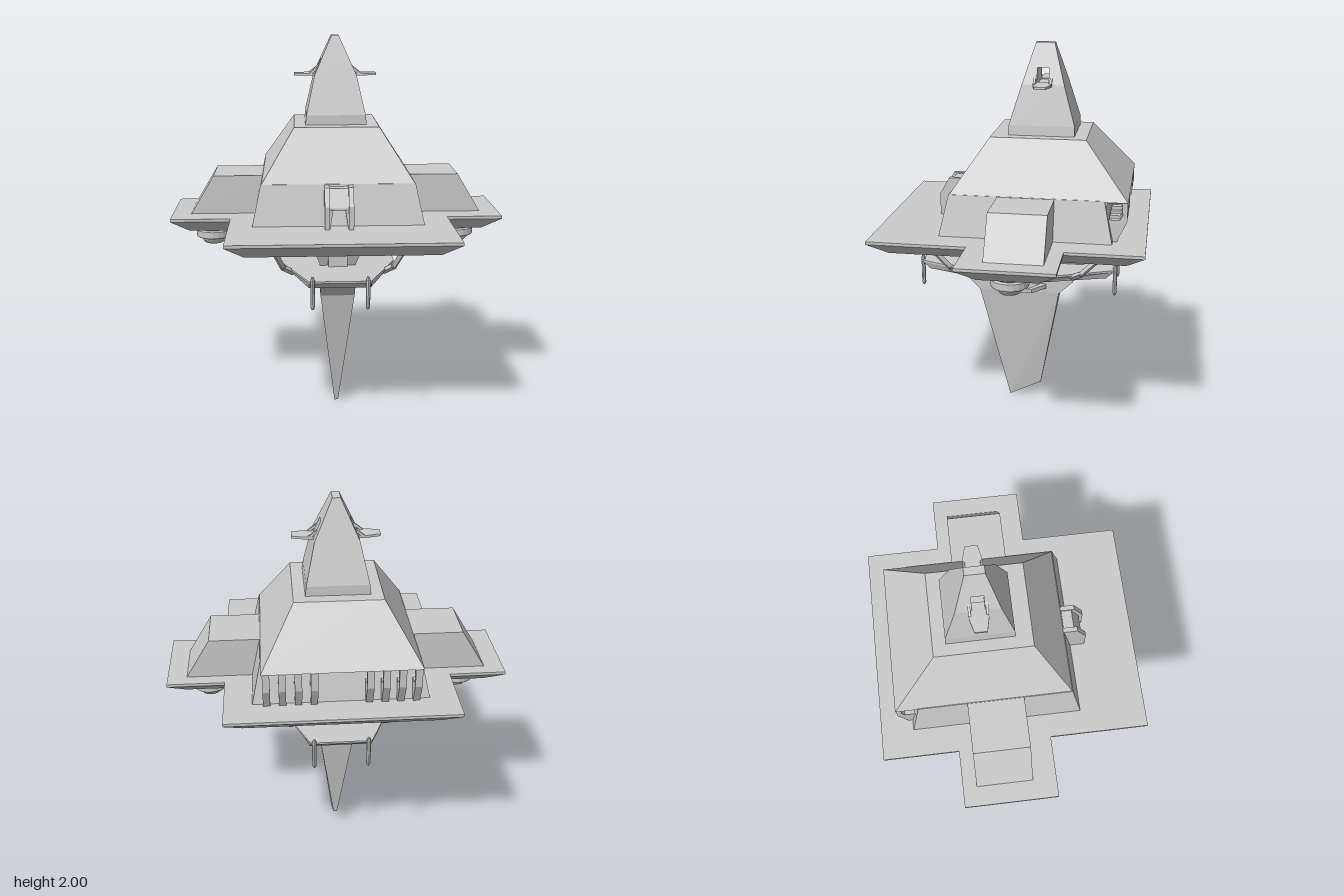
import * as THREE from 'three';

const material = new THREE.MeshStandardMaterial({ color: 0xcccccc, flatShading: true, side: THREE.DoubleSide });

// Ring of a rectangle at height y (counterclockwise from above)
const rect = (y, x, zFront, zBack) => [[x, y, zFront], [x, y, zBack], [-x, y, zBack], [-x, y, zFront]];

// Skin through rings listed bottom to top, closed by flat caps
function loft(rings) {
  const pos = [];
  const n = rings[0].length;
  for (let r = 0; r < rings.length - 1; r++) {
    for (let i = 0; i < n; i++) {
      const j = (i + 1) % n;
      const [a, b, c, d] = [rings[r][i], rings[r][j], rings[r + 1][j], rings[r + 1][i]];
      pos.push(...a, ...b, ...c, ...a, ...c, ...d);
    }
  }
  const cap = (ring, up) => {
    const flat = ring.map(p => new THREE.Vector2(p[0], -p[2]));
    for (const [a, b, c] of THREE.ShapeUtils.triangulateShape(flat, [])) {
      pos.push(...ring[a], ...ring[up ? b : c], ...ring[up ? c : b]);
    }
  };
  cap(rings[0], false);
  cap(rings[rings.length - 1], true);
  const g = new THREE.BufferGeometry();
  g.setAttribute('position', new THREE.Float32BufferAttribute(pos, 3));
  g.computeVertexNormals();
  return g;
}

const toPoints = list => list.map(([a, b]) => new THREE.Vector2(a, b));

// Side profile in (z, y), extruded across x and centred on x = 0
function sidePlate(profile, width, hole) {
  const shape = new THREE.Shape(toPoints(profile));
  if (hole) shape.holes.push(new THREE.Path(toPoints(hole)));
  return new THREE.ExtrudeGeometry(shape, { depth: width, bevelEnabled: false })
    .rotateY(-Math.PI / 2).translate(width / 2, 0, 0);
}

// Square bar between two points
function bar(a, b, thickness) {
  const from = new THREE.Vector3(...a), to = new THREE.Vector3(...b);
  const dir = to.clone().sub(from);
  const g = new THREE.BoxGeometry(thickness, dir.length() + thickness * 0.5, thickness);
  g.applyQuaternion(new THREE.Quaternion().setFromUnitVectors(new THREE.Vector3(0, 1, 0), dir.normalize()));
  return g.translate(...from.add(to).multiplyScalar(0.5).toArray());
}

export function createModel() {
  const model = new THREE.Group();
  const add = (name, geometry, x = 0, y = 0, z = 0) => {
    const mesh = new THREE.Mesh(geometry, material);
    mesh.name = name;
    mesh.position.set(x, y, z);
    model.add(mesh);
    return mesh;
  };

  // Cross-shaped platform with bevelled underside
  const cross = (y, d) => [
    [0.575 - d, y, 0.68 - d], [0.575 - d, y, 0.175 - d], [0.865 - d, y, 0.175 - d], [0.865 - d, y, -0.3 + d],
    [0.575 - d, y, -0.3 + d], [0.575 - d, y, -0.685 + d], [-0.575 + d, y, -0.685 + d], [-0.575 + d, y, -0.3 + d],
    [-0.865 + d, y, -0.3 + d], [-0.865 + d, y, 0.175 - d], [-0.555 + d, y, 0.175 - d], [-0.555 + d, y, 0.68 - d]];
  add('platform', loft([cross(1, 0.09), cross(1.07, 0), cross(1.085, 0)]));

  // Main building and overhanging roof
  add('lowerWalls', loft([rect(1.085, 0.435, 0.345, -0.52), rect(1.29, 0.39, 0.3, -0.475)]));
  add('roof', loft([rect(1.285, 0.39, 0.3, -0.59), rect(1.55, 0.22, 0.12, -0.365)]));

  // Rear brackets under the overhang
  for (const side of [-1, 1]) {
    for (let i = 0; i < 4; i++) {
      add('rearBracket', sidePlate(
        [[-0.45, 1.287], [-0.588, 1.287], [-0.588, 1.19], [-0.54, 1.085], [-0.47, 1.085]], 0.035,
        [[-0.49, 1.28], [-0.56, 1.28], [-0.565, 1.22], [-0.55, 1.195], [-0.5, 1.195], [-0.48, 1.23]]),
      side * (0.365 - i * 0.077));
    }
  }

  // Tower, split into two blocks around the through window
  const zf = y => 0.035 - (y - 1.6) * 0.3, zb = y => -0.3 + (y - 1.6) * 0.3;
  add('towerBase', loft([rect(1.55, 0.16, 0.035, -0.3), rect(1.6, 0.155, zf(1.6), zb(1.6)),
    rect(1.8, 0.11, zf(1.8), zb(1.8))]));
  add('towerFrontBlock', loft([rect(1.8, 0.11, zf(1.8), -0.1), rect(1.88, 0.074, zf(1.88), -0.1)]));
  add('towerBackBlock', loft([rect(1.8, 0.11, -0.16, zb(1.8)), rect(1.88, 0.074, -0.16, zb(1.88))]));
  add('towerTop', loft([rect(1.88, 0.074, zf(1.88), zb(1.88)), rect(2, 0.02, zf(2), zb(2))]));

  for (const s of [-1, 1]) {
    // Balcony and its cheeks
    const balcony = new THREE.Shape(toPoints([[0.07, -0.085], [0.15, -0.085], [0.217, -0.1],
      [0.217, -0.16], [0.15, -0.178], [0.07, -0.178]]));
    const floor = add('balcony', new THREE.ExtrudeGeometry(balcony, { depth: 0.012, bevelEnabled: false })
      .rotateX(Math.PI / 2), 0, 1.806, 0);
    if (s < 0) floor.geometry.scale(1, 1, -1).rotateY(Math.PI);
    floor.geometry.computeBoundingBox();
    floor.position.z = -0.1315 - (floor.geometry.boundingBox.min.z + floor.geometry.boundingBox.max.z) / 2;
    for (const z of [-0.09, -0.173]) {
      add('balconyCheek', bar([s * 0.085, 1.84, z], [s * 0.13, 1.805, z], 0.012));
    }

    // Side housing
    const house = [[0.37, 1.08], [0.77, 1.08], [0.645, 1.288], [0.37, 1.288]].map(([x, y]) => [s * x, y]);
    add('sideHousing', new THREE.ExtrudeGeometry(new THREE.Shape(toPoints(house)),
      { depth: 0.285, bevelEnabled: false }), 0, 0, -0.23);

    // Engine pod under the platform arm
    const pod = toPoints([[0, 0.893], [0.02, 0.893], [0.022, 0.9], [0.05, 0.903], [0.065, 0.922], [0.07, 0.932],
      [0.09, 0.937], [0.094, 0.945], [0.094, 0.975], [0.08, 0.98], [0.08, 0.988], [0.1, 0.99], [0.1, 1.005]]);
    add('enginePod', new THREE.LatheGeometry(pod, 20), s * 0.66, 0, -0.055);

    // Doorway cheek
    add('doorCheek', sidePlate([[0.28, 1.287], [0.37, 1.287], [0.42, 1.2], [0.42, 1.085], [0.3, 1.085]], 0.025),
      s * 0.06);

    // Side handle on the keel
    const loop = new THREE.Shape(toPoints([[0.07, 0.135], [0.1, 0.135], [0.18, 0.07], [0.18, -0.09],
      [0.1, -0.155], [0.07, -0.155]].map(([x, z]) => [s * x, -z])));
    loop.holes.push(new THREE.Path(toPoints([[0.07, 0.105], [0.1, 0.1], [0.16, 0.055], [0.16, -0.075],
      [0.1, -0.12], [0.07, -0.125]].map(([x, z]) => [s * x, -z]))));
    add('keelHandle', new THREE.ExtrudeGeometry(loop, { depth: 0.022, bevelEnabled: false })
      .rotateX(-Math.PI / 2), 0, 0.7, 0);

    // Deck struts, corner posts and small mounts
    for (const [zTop, zLow, zPost, zMount] of [[0.43, 0.28, 0.508, 0.25], [-0.48, -0.31, -0.526, -0.24]]) {
      const zMid = zLow + (zTop - zLow) * 0.3;
      add('deckStrut', bar([s * 0.335, 1, zTop], [s * 0.285, 0.865, zMid], 0.022));
      add('deckStrut', bar([s * 0.285, 0.865, zMid], [s * 0.235, 0.825, zLow], 0.022));
      add('deckPost', new THREE.CylinderGeometry(0.011, 0.011, 0.14, 8), s * 0.137, 0.785, zPost);
      for (const y of [0.708, 0.862]) {
        add('postCap', new THREE.CylinderGeometry(y > 0.8 ? 0.006 : 0.011, y > 0.8 ? 0.011 : 0.006, 0.014, 8),
          s * 0.137, y, zPost);
      }
      add('mount', new THREE.BoxGeometry(0.02, 0.03, 0.035), s * 0.165, 0.988, zMount);
    }
  }

  // Doorway hood and recessed back
  add('doorHood', sidePlate([[0.28, 1.28], [0.355, 1.28], [0.4, 1.19], [0.28, 1.19]], 0.1));
  add('doorArch', sidePlate([[0.3, 1.19], [0.395, 1.19], [0.395, 1.175], [0.3, 1.175]], 0.1));
  for (const s of [-1, 1]) {
    const jamb = [[0.05, 1.085], [0.045, 1.085], [0.03, 1.18], [0.05, 1.18]].map(([x, y]) => [s * x, y]);
    add('doorJamb', new THREE.ExtrudeGeometry(new THREE.Shape(toPoints(jamb)),
      { depth: 0.08, bevelEnabled: false }), 0, 0, 0.32);
  }

  // Lower deck, tapering toward front and back
  const deck = (y, d) => [[0.155, y, 0.505 - d], [0.3 - d, y, 0.15], [0.3 - d, y, -0.17], [0.155, y, -0.52 + d],
    [-0.155, y, -0.52 + d], [-0.3 + d, y, -0.17], [-0.3 + d, y, 0.15], [-0.155, y, 0.505 - d]];
  add('lowerDeck', loft([deck(0.8, 0.04), deck(0.835, 0), deck(0.845, 0)]));

  // Neck between the platform and the deck
  add('neck', loft([rect(0.84, 0.09, 0.23, -0.35), rect(0.98, 0.14, 0.28, -0.485), rect(1.005, 0.155, 0.295, -0.49)]));
  add('neckPanel', new THREE.BoxGeometry(0.1, 0.08, 0.06), 0, 0.885, 0.23);

  // Keel blade with slanted tip
  const tip = [[0.01, 0, 0.055], [0.01, 0.09, -0.12], [-0.01, 0.09, -0.12], [-0.01, 0, 0.055]];
  add('keelBlade', loft([tip, rect(0.67, 0.09, 0.207, -0.225), rect(0.74, 0.09, 0.275, -0.3),
    rect(0.81, 0.09, 0.275, -0.3)]));

  return model;
}
